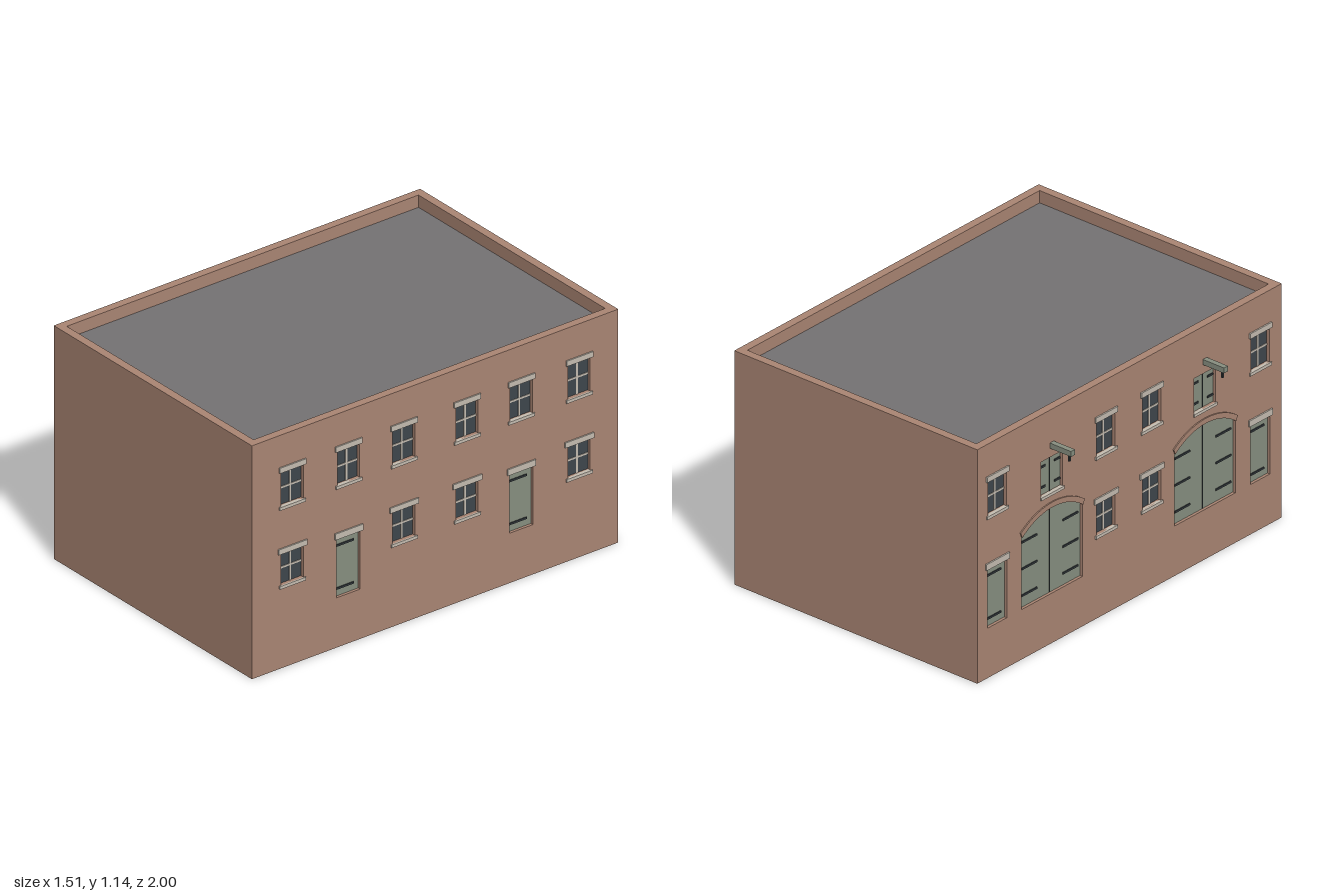
import * as THREE from 'three';

const mat = (name, color) => {
  const m = new THREE.MeshStandardMaterial({ color });
  m.name = name;
  return m;
};
const brick = mat('brick', 0xab8674);
const roofGrey = mat('roofGrey', 0x757374);
const paint = mat('doorPaint', 0x889081);
const stone = mat('paleStone', 0xc6beb2);
const glass = mat('darkGlass', 0x3f474d);
const iron = mat('darkIron', 0x33393d);

const H = 1.14, T = 0.04, X0 = -0.635, X1 = 0.745;

function box(parent, name, m, w, h, d, x, y, z) {
  const mesh = new THREE.Mesh(new THREE.BoxGeometry(w, h, d), m);
  mesh.name = name;
  mesh.position.set(x, y, z);
  parent.add(mesh);
  return mesh;
}

// Outline of an opening; rise > 0 gives it a shallow arched head
function opening(u, w, y0, y1, rise = 0, Type = THREE.Path) {
  const p = new Type();
  p.moveTo(u - w / 2, y0);
  p.lineTo(u + w / 2, y0);
  p.lineTo(u + w / 2, y1);
  if (rise) arcTo(p, u, w, y1, rise, false);
  else p.lineTo(u - w / 2, y1);
  p.lineTo(u - w / 2, y0);
  return p;
}

// Segment of a circle across width w, rising above the springing line
function arcTo(p, u, w, y, rise, clockwise) {
  const r = (w * w / 4 + rise * rise) / (2 * rise);
  const a = Math.asin(w / 2 / r), mid = Math.PI / 2;
  p.absarc(u, y + rise - r, r, clockwise ? mid + a : mid - a, clockwise ? mid - a : mid + a, clockwise);
}

function extrude(parent, name, m, shape, depth, z) {
  const geo = new THREE.ExtrudeGeometry(shape, { depth, bevelEnabled: false, curveSegments: 10 });
  geo.translate(0, 0, z);
  const mesh = new THREE.Mesh(geo, m);
  mesh.name = name;
  parent.add(mesh);
}

// Lintel above or sill below an opening, slightly proud of the wall
const ledge = (g, name, u, w, y0, y1) =>
  box(g, name, stone, w, y1 - y0, 0.018, u, (y0 + y1) / 2, -0.002);

function addWindow(g, holes, u, upper) {
  const y0 = upper ? 0.79 : 0.405, y1 = upper ? 0.957 : 0.56, w = 0.122;
  const y = (y0 + y1) / 2, h = y1 - y0;
  holes.push(opening(u, w, y0, y1));
  const win = new THREE.Group();
  win.name = 'window';
  g.add(win);
  box(win, 'pane', glass, w, h, 0.006, u, y, -0.02);
  box(win, 'uprightBar', stone, 0.009, h, 0.012, u, y, -0.02);
  box(win, 'crossBar', stone, w, 0.009, 0.012, u, y, -0.02);
  ledge(win, 'lintel', u, upper ? 0.145 : 0.157, y1, y1 + 0.026);
  ledge(win, 'sill', u, 0.142, y0 - 0.015, y0);
}

function strap(g, u, y, w) {
  box(g, 'hingeStrap', iron, w, 0.009, 0.008, u, y, -0.013);
}

function addDoor(g, holes, u) {
  const w = 0.128, y0 = 0.243, y1 = 0.53;
  holes.push(opening(u, w, y0, y1));
  box(g, 'door', paint, w, y1 - y0, 0.012, u, (y0 + y1) / 2, -0.02);
  for (const y of [0.28, 0.49]) strap(g, u - 0.012, y, 0.1);
  ledge(g, 'doorLintel', u, 0.153, y1, y1 + 0.03);
}

// Wide arched double door with a brick arch ring
function addGate(g, holes, u) {
  const w = 0.4, y0 = 0.243, y1 = 0.595, rise = 0.07;
  holes.push(opening(u, w, y0, y1, rise));
  extrude(g, 'archedDoor', paint, opening(u, w, y0, y1, rise, THREE.Shape), 0.012, -0.026);
  box(g, 'doorSeam', iron, 0.004, y1 + rise - y0 - 0.002, 0.003, u, (y0 + y1 + rise) / 2, -0.014);
  for (const y of [0.3, 0.43, 0.56])
    for (const s of [-1, 1]) strap(g, u + s * 0.135, y, 0.1);
  const ring = new THREE.Shape();
  ring.moveTo(u + w / 2, y1);
  arcTo(ring, u, w, y1, rise, false);
  arcTo(ring, u, w + 0.02, y1 + 0.025, rise, true);
  ring.closePath();
  extrude(g, 'archRing', brick, ring, 0.012, -0.006);
}

// Loading hatch with a hoist beam above it
function addHatch(g, holes, u) {
  const w = 0.14, y0 = 0.738, y1 = 0.91;
  holes.push(opening(u, w, y0, y1));
  box(g, 'hatch', paint, w, y1 - y0, 0.012, u, (y0 + y1) / 2, -0.02);
  box(g, 'hatchSeam', iron, 0.004, y1 - y0, 0.003, u, (y0 + y1) / 2, -0.013);
  for (const y of [0.775, 0.875])
    for (const s of [-1, 1]) strap(g, u + s * 0.048, y, 0.036);
  ledge(g, 'hatchSill', u, 0.152, y0 - 0.014, y0);
  box(g, 'hoistBeam', paint, 0.026, 0.026, 0.13, u, 0.967, 0.055);
  box(g, 'hoistHook', iron, 0.008, 0.034, 0.008, u, 0.938, 0.1);
}

// Long wall built facing +z, then turned to its side
function facade(name, x, turn, fill) {
  const g = new THREE.Group();
  g.name = name;
  const holes = [];
  fill(g, holes);
  const wall = new THREE.Shape();
  wall.moveTo(-1, 0);
  wall.lineTo(1, 0);
  wall.lineTo(1, H);
  wall.lineTo(-1, H);
  wall.closePath();
  wall.holes = holes;
  extrude(g, 'longWall', brick, wall, T, -T);
  g.rotation.y = turn;
  g.position.x = x;
  return g;
}

export function createModel() {
  const model = new THREE.Group();
  model.name = 'warehouse';
  const cx = (X0 + X1) / 2, inner = X1 - X0 - 2 * T;

  // Blank end walls and sunken flat roof
  for (const s of [-1, 1])
    box(model, s > 0 ? 'frontWall' : 'backWall', brick, inner, H, T, cx, H / 2, s * (1 - T / 2));
  box(model, 'roof', roofGrey, inner, 0.02, 2 - 2 * T, cx, 1.07, 0);

  // Left side: windows and two plain doors
  model.add(facade('leftSide', X1, Math.PI / 2, (g, holes) => {
    for (const z of [0.78, 0.473, 0.171, -0.174, -0.47, -0.786]) {
      addWindow(g, holes, -z, true);
      if (Math.abs(z) > 0.4 && Math.abs(z) < 0.5) addDoor(g, holes, -z);
      else addWindow(g, holes, -z, false);
    }
  }));

  // Right side: arched gates, hatches, end doors and windows
  model.add(facade('rightSide', X0, -Math.PI / 2, (g, holes) => {
    for (const z of [-0.155, 0.145]) {
      addWindow(g, holes, z, true);
      addWindow(g, holes, z, false);
    }
    for (const z of [-0.87, 0.858]) {
      addWindow(g, holes, z, true);
      addDoor(g, holes, z);
    }
    for (const z of [-0.51, 0.495]) {
      addGate(g, holes, z);
      addHatch(g, holes, z);
    }
  }));
  return model;
}
